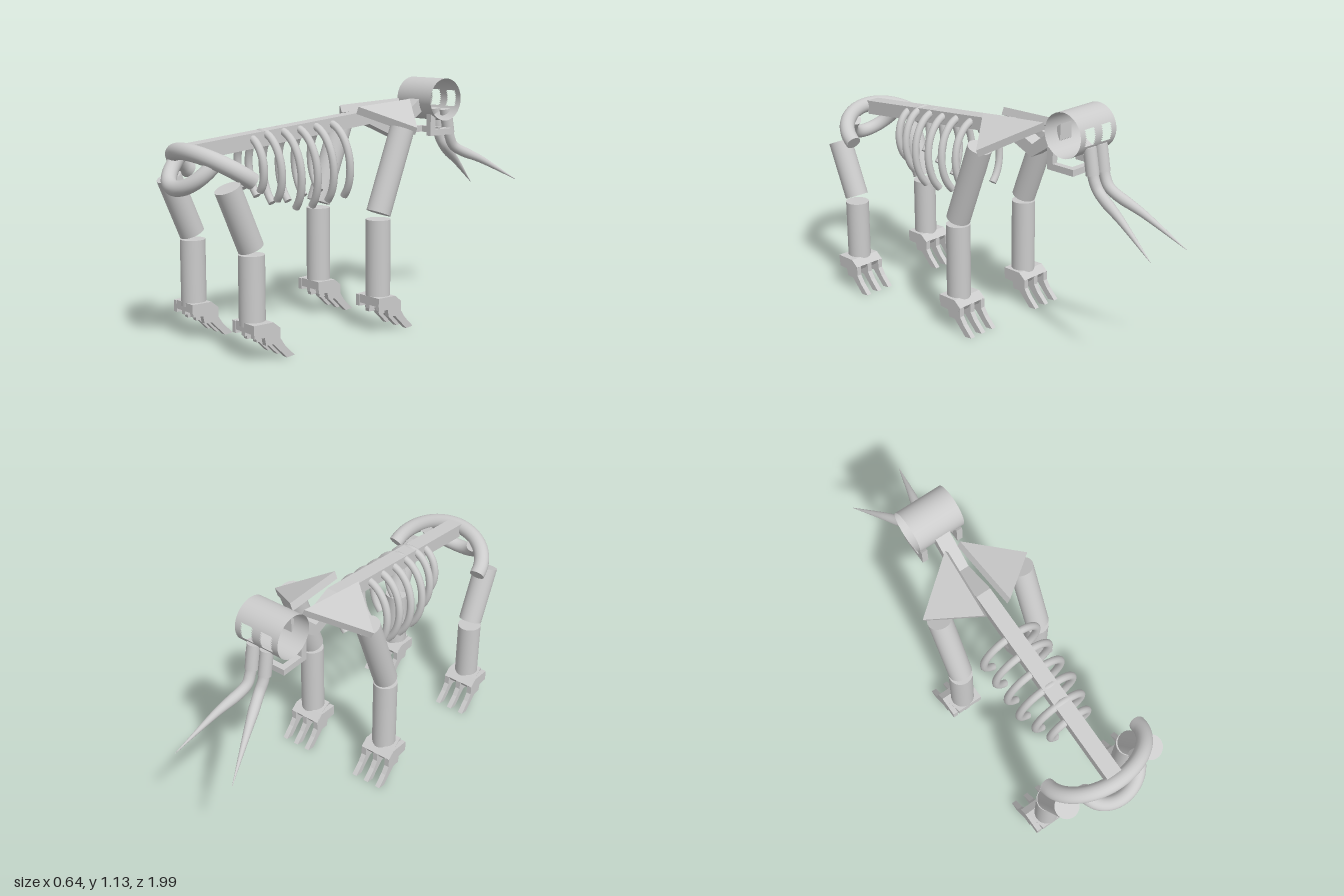
import * as THREE from 'three';
import { ConvexGeometry } from 'three/addons/geometries/ConvexGeometry.js';

const bone = new THREE.MeshStandardMaterial({ color: 0xcccccc, side: THREE.DoubleSide });
const V = (x, y, z) => new THREE.Vector3(x, y, z);
const MID = -0.012; // the spine sits a little off centre

function add(parent, name, geometry) {
  const mesh = new THREE.Mesh(geometry, bone);
  mesh.name = name;
  parent.add(mesh);
  return mesh;
}

// Capped cylinder between two points
function rod(parent, name, a, b, r) {
  const mesh = add(parent, name, new THREE.CylinderGeometry(r, r, a.distanceTo(b), 32));
  mesh.position.copy(a).lerp(b, 0.5);
  mesh.quaternion.setFromUnitVectors(V(0, 1, 0), b.clone().sub(a).normalize());
  return mesh;
}

// Side profile of [z, y] points, extruded across x and centred on x
function profile(points, width, x = 0) {
  const shape = new THREE.Shape(points.map(([z, y]) => new THREE.Vector2(z, y)));
  const g = new THREE.ExtrudeGeometry(shape, { depth: width, bevelEnabled: false });
  return g.rotateY(-Math.PI / 2).translate(x + width / 2, 0, 0);
}

// Tube along points whose radius follows radiusAt(t), with flat end caps
function taperTube(parent, name, points, radiusAt, segments = 40, sides = 16) {
  const group = new THREE.Group();
  group.name = name;
  parent.add(group);
  const curve = new THREE.CatmullRomCurve3(points);
  const g = new THREE.TubeGeometry(curve, segments, 1, sides);
  const pos = g.attributes.position, v = V(0, 0, 0);
  for (let i = 0; i < pos.count; i++) {
    const t = Math.floor(i / (sides + 1)) / segments;
    const c = curve.getPointAt(t);
    v.fromBufferAttribute(pos, i).sub(c).multiplyScalar(radiusAt(t)).add(c);
    pos.setXYZ(i, v.x, v.y, v.z);
  }
  add(group, name + 'Shaft', g);
  for (const t of [0, 1]) {
    if (radiusAt(t) < 0.005) continue;
    const cap = add(group, name + 'End', new THREE.CircleGeometry(radiusAt(t), sides));
    cap.position.copy(curve.getPointAt(t));
    cap.quaternion.setFromUnitVectors(V(0, 0, 1), curve.getTangentAt(t).multiplyScalar(t ? 1 : -1));
  }
  return group;
}

// Half ring running from one side, through the apex, to the other side
function halfRing(parent, name, x, halfWidth, ends, apex, r) {
  const pts = [];
  for (let i = 0; i <= 16; i++) {
    const a = (Math.PI * i) / 16, s = Math.sin(a);
    pts.push(V(x + halfWidth * Math.cos(a),
      ends[1] + (apex[1] - ends[1]) * s, ends[0] + (apex[0] - ends[0]) * s));
  }
  taperTube(parent, name, pts, () => r, 48, 20);
}

// Foot with a palm and three curved toes, heel end at z = 0.8
function foot(x, dz) {
  const g = new THREE.Group();
  g.name = 'foot';
  const palm = profile([[0.8, 0.165], [0.7, 0.165], [0.663, 0.135], [0.68, 0.11], [0.8, 0.125]], 0.164);
  const p = palm.attributes.position;
  for (let i = 0; i < p.count; i++) {
    if (p.getX(i) < 0) p.setX(i, p.getX(i) + Math.max(0, (p.getZ(i) - 0.67) * 0.25));
  }
  palm.computeVertexNormals();
  add(g, 'palm', palm);
  const toe = [[0.797, 0.16], [0.7, 0.165], [0.663, 0.134], [0.663, 0.09], [0.64, 0.055],
    [0.615, 0.03], [0.59, 0.005], [0.63, 0], [0.66, 0.03], [0.7, 0.07], [0.738, 0.07], [0.745, 0.105], [0.797, 0.107]];
  for (const tx of [-0.069, 0, 0.069]) add(g, 'toe', profile(toe, 0.025, tx));
  g.position.set(x, 0, dz);
  return g;
}

function leg(name, x, footX, footZ, hip, knee, shinZ, shinTop) {
  const g = new THREE.Group();
  g.name = name;
  rod(g, 'upperLeg', V(x, ...hip), V(x, ...knee), 0.057);
  rod(g, 'lowerLeg', V(x, shinTop, shinZ), V(x, 0.145, shinZ), 0.057);
  g.add(foot(footX, footZ));
  return g;
}

export function createModel() {
  const model = new THREE.Group();
  model.name = 'skeleton';

  // Spine and bent neck
  add(model, 'spine', profile([[0.9, 0.9], [-0.08, 0.995], [-0.25, 0.922], [-0.415, 1.05],
    [-0.415, 0.975], [-0.245, 0.86], [-0.08, 0.932], [0.88, 0.833]], 0.074, MID));

  // Ribs: z at top, top y, bottom y, half width
  const ribs = [[0.585, 0.93, 0.66, 0.1], [0.51, 0.945, 0.615, 0.125], [0.42, 0.95, 0.572, 0.146],
    [0.33, 0.955, 0.572, 0.146], [0.238, 0.962, 0.588, 0.146], [0.143, 0.968, 0.6, 0.146]];
  for (const [z, top, bottom, w] of ribs) {
    const r = 0.018, h = (top - bottom - 2 * r) / 1.79, pts = [];
    for (let i = 0; i <= 20; i++) {
      const a = (i / 10 - 1) * 2.48, drop = h * (1 - Math.cos(a));
      pts.push(V(MID + w * Math.sin(a), top - r - drop, z - 0.07 * drop));
    }
    taperTube(model, 'rib', pts, () => r, 48, 12);
  }

  // Pelvis
  halfRing(model, 'pelvisUpper', -0.004, 0.246, [0.742, 0.756], [0.914, 0.872], 0.037);
  halfRing(model, 'pelvisLower', -0.006, 0.143, [0.855, 0.835], [0.965, 0.72], 0.034);

  // Shoulder blades
  for (const s of [-1, 1]) {
    const top = [V(0.04, 1.04, -0.325), V(0.068, 1.02, 0.02), V(0.284, 0.928, -0.15)];
    const pts = [...top, ...top.map((p) => p.clone().add(V(-0.015, -0.034, 0)))];
    pts.forEach((p) => { p.x = s * p.x - 0.006; });
    add(model, 'shoulderBlade', new ConvexGeometry(pts));
  }

  // Legs
  const hind = [[0.738, 0.861], [0.476, 0.749], 0.746, 0.448];
  const fore = [[0.92, -0.112], [0.545, 0.03], 0.032, 0.518];
  model.add(leg('hindLegRight', -0.228, -0.236, 0, ...hind));
  model.add(leg('hindLegLeft', 0.23, 0.236, 0, ...hind));
  model.add(leg('frontLegRight', -0.227, -0.236, -0.711, ...fore));
  model.add(leg('frontLegLeft', 0.216, 0.206, -0.711, ...fore));

  // Skull: thin open drum with two eye openings
  const skull = new THREE.CylinderGeometry(0.102, 0.102, 0.236, 64, 24, true).rotateZ(Math.PI / 2);
  const sp = skull.attributes.position, idx = skull.index.array, keep = [];
  for (let i = 0; i < idx.length; i += 3) {
    const c = V(0, 0, 0);
    for (let k = 0; k < 3; k++) c.add(V(0, 0, 0).fromBufferAttribute(sp, idx[i + k]));
    c.divideScalar(3);
    const eye = c.z < 0 && Math.abs(c.y) < 0.036 && Math.abs(Math.abs(c.x) - 0.054) < 0.03;
    if (!eye) keep.push(idx[i], idx[i + 1], idx[i + 2]);
  }
  skull.setIndex(keep);
  add(model, 'skull', skull).position.set(-0.0135, 1.032, -0.497);

  // Jaw: two L-shaped sides joined by a front bar
  const side = [[-0.405, 0.965], [-0.405, 0.86], [-0.555, 0.86], [-0.555, 0.89], [-0.438, 0.89], [-0.438, 0.945]];
  for (const s of [-1, 1]) add(model, 'jawSide', profile(side, 0.03, MID + s * 0.095));
  add(model, 'jawFront', new THREE.BoxGeometry(0.2, 0.03, 0.03)).position.set(MID, 0.875, -0.54);

  // Tusks in their sockets
  for (const [x, tip] of [[-0.053, V(-0.18, 0.56, -0.965)], [0.021, V(0.115, 0.6, -0.995)]]) {
    rod(model, 'tuskSocket', V(x, 0.98, -0.578), V(x, 0.86, -0.6), 0.03);
    const bend = V(x, 0.79, -0.638);
    taperTube(model, 'tusk', [V(x, 0.88, -0.597), V(x, 0.835, -0.61), bend,
      bend.clone().lerp(tip, 0.45).add(V(0, 0.006, 0)), tip],
    (t) => 0.024 * Math.min(1, (1 - t) / 0.65) + 0.001);
  }
  return model;
}
